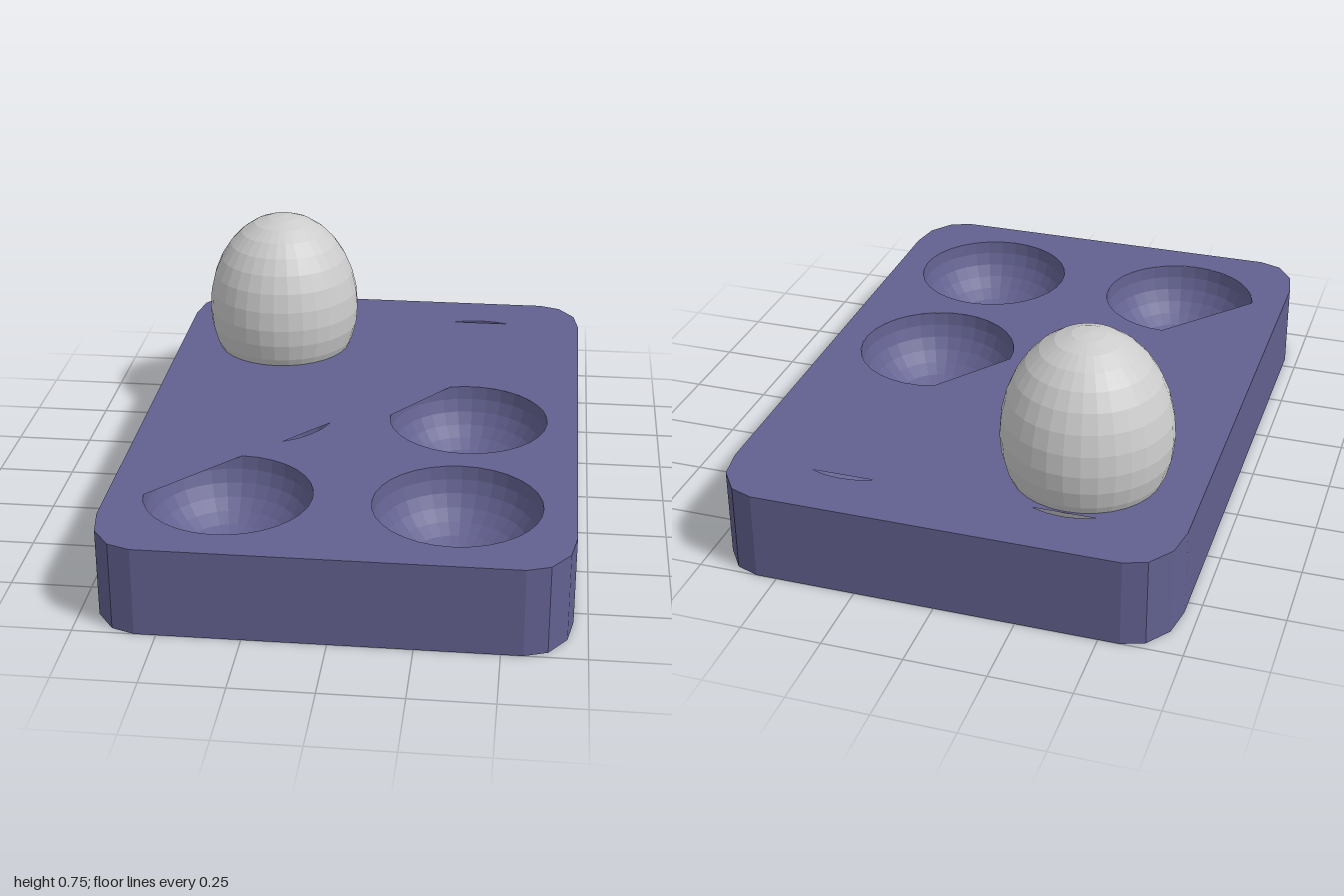
import * as THREE from 'three';

const H = 0.28;          // tray height
const R = 0.257;         // pocket radius
const DEPTH = 0.22;      // pocket depth

// Pockets: centre x, z and the open arc of the rim in degrees (x towards z)
const POCKETS = [
  [0.35, 0.63, 0, 360],
  [-0.342, 0.63, -90, 172],
  [0.35, 0.025, -107, 180],
  [-0.342, 0.025, 18, 64],
  [0.35, -0.57, -112.5, -67.5],
  [-0.342, -0.57, -112.5, -67.5],
];

function flat(geometry) {
  const g = geometry.index ? geometry.toNonIndexed() : geometry;
  g.computeVertexNormals();
  return g;
}

// Tray outline with faceted corners, counter-clockwise in (x, -z)
function trayOutline() {
  const c = [[0.707, 0.8], [0.69, 0.9], [0.635, 0.975], [0.565, 1]];
  const back = c.slice().reverse();
  return [
    ...c,
    ...back.map(([x, y]) => [-x, y]),
    ...c.map(([x, y]) => [-x, -y]),
    ...back.map(([x, y]) => [x, -y]),
  ].map(([x, y]) => new THREE.Vector2(x, y));
}

// Rim opening: an arc closed by a straight chord
function pocketHole([cx, cz, from, to]) {
  const pts = [];
  const n = Math.max(4, Math.round((to - from) / 11.25));
  const count = to - from === 360 ? n : n + 1;
  for (let i = 0; i < count; i++) {
    const a = THREE.MathUtils.degToRad(from + ((to - from) * i) / n);
    pts.push(new THREE.Vector2(cx + R * Math.cos(a), -(cz + R * Math.sin(a))));
  }
  return new THREE.Path(pts);
}

// Vertical wall around an outline
function wallGeometry(outline) {
  const pos = [];
  outline.forEach((a, i) => {
    const b = outline[(i + 1) % outline.length];
    pos.push(a.x, 0, -a.y, b.x, 0, -b.y, b.x, H, -b.y);
    pos.push(a.x, 0, -a.y, b.x, H, -b.y, a.x, H, -a.y);
  });
  const g = new THREE.BufferGeometry();
  g.setAttribute('position', new THREE.Float32BufferAttribute(pos, 3));
  return flat(g);
}

// Egg: a sphere stretched more above its widest ring than below it
function eggGeometry() {
  const g = new THREE.SphereGeometry(1, 32, 16);
  const p = g.attributes.position;
  for (let i = 0; i < p.count; i++) {
    const y = p.getY(i);
    p.setXYZ(i, p.getX(i) * 0.262, y * (y > 0 ? 0.335 : 0.3), p.getZ(i) * 0.262);
  }
  return flat(g);
}

export function createModel() {
  const trayMat = new THREE.MeshStandardMaterial({ color: 0x62608f, flatShading: true });
  trayMat.name = 'slate violet';
  const eggMat = new THREE.MeshStandardMaterial({ color: 0xcccccc, flatShading: true });
  eggMat.name = 'eggshell grey';

  const model = new THREE.Group();
  model.name = 'eggTray';
  const add = (name, geometry, material, x = 0, y = 0, z = 0) => {
    const mesh = new THREE.Mesh(geometry, material);
    mesh.name = name;
    mesh.position.set(x, y, z);
    model.add(mesh);
  };

  // Tray shell
  const outline = trayOutline();
  const topShape = new THREE.Shape(outline);
  topShape.holes = POCKETS.map(pocketHole);
  add('trayTop', new THREE.ShapeGeometry(topShape).rotateX(-Math.PI / 2), trayMat, 0, H, 0);
  add('trayBottom', new THREE.ShapeGeometry(new THREE.Shape(outline)).rotateX(Math.PI / 2), trayMat);
  add('trayWall', wallGeometry(outline), trayMat);

  // Bowls: half spheres mirrored downwards so that they face inwards
  const bowl = flat(new THREE.SphereGeometry(R, 32, 8, 0, Math.PI * 2, 0, Math.PI / 2)
    .scale(1, -DEPTH / R, 1));
  POCKETS.forEach(([x, z], i) => add(`pocket${i + 1}`, bowl, trayMat, x, H, z));

  // Single egg in the back right pocket
  add('egg', eggGeometry(), eggMat, -0.342, 0.42, -0.57);

  return model;
}
